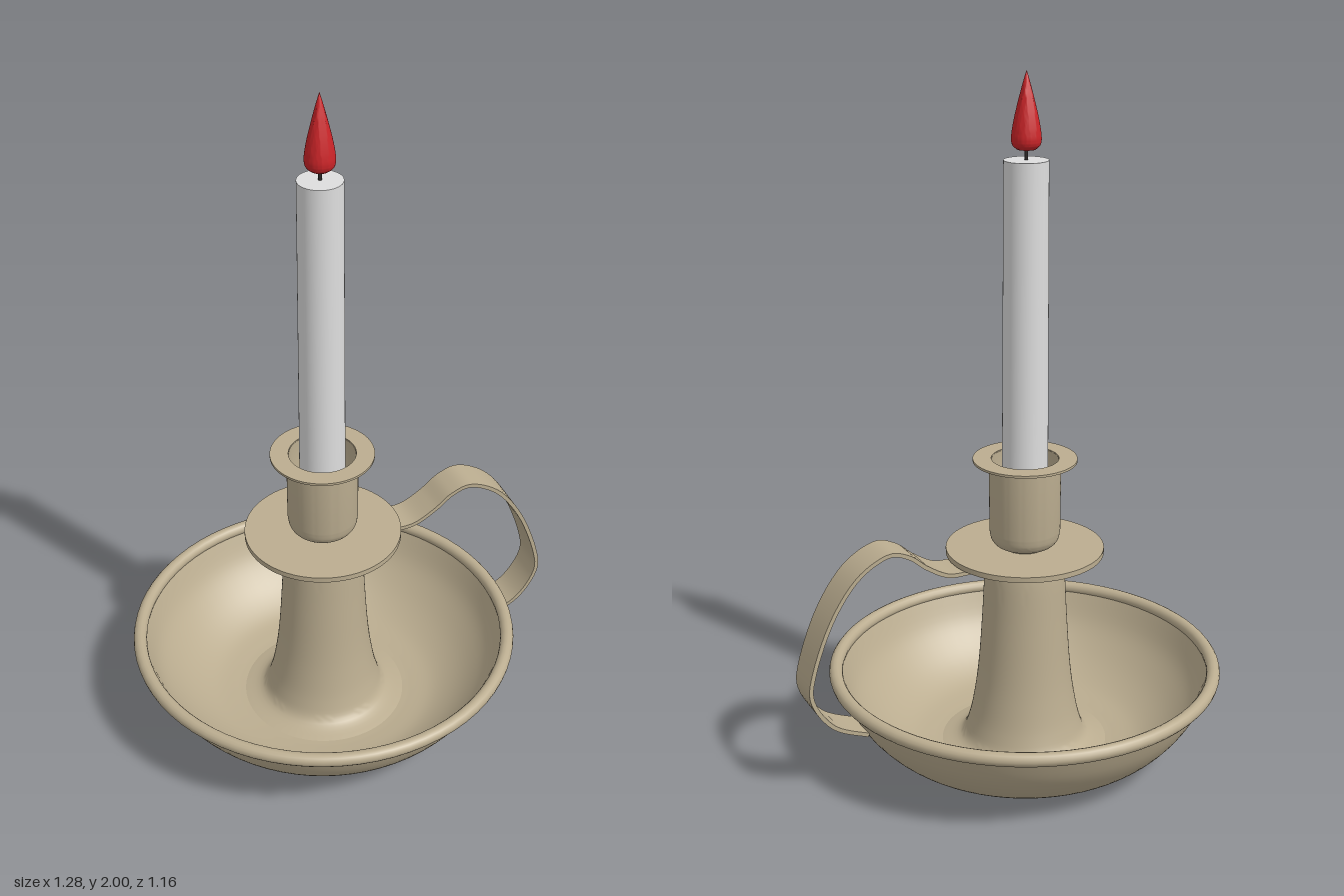
import * as THREE from 'three';
import { toCreasedNormals } from 'three/addons/utils/BufferGeometryUtils.js';

const AXIS_X = -0.06; // the candle axis sits left of centre to balance the handle

const material = (name, color) => {
  const m = new THREE.MeshStandardMaterial({ color });
  m.name = name;
  return m;
};

const toVectors = (pairs) => pairs.map(([x, y]) => new THREE.Vector2(x, y));
const smooth = (pairs, n) => new THREE.SplineCurve(toVectors(pairs)).getPoints(n);
const lathe = (points, crease = 0.6) =>
  toCreasedNormals(new THREE.LatheGeometry(points, 72), crease);

export function createModel() {
  const model = new THREE.Group();
  model.name = 'candleHolder';
  const metal = material('tanMetal', 0xbbad90);
  const wax = material('whiteWax', 0xdedede);
  const red = material('redFlame', 0xcc2428);
  const dark = material('darkWick', 0x2c2826);

  const add = (name, geometry, mat, x = AXIS_X, y = 0) => {
    const mesh = new THREE.Mesh(geometry, mat);
    mesh.name = name;
    mesh.position.set(x, y, 0);
    model.add(mesh);
    return mesh;
  };

  // Bowl: outer wall up, inner wall back down
  const outer = smooth([[0.26, 0], [0.34, 0.013], [0.41, 0.048], [0.47, 0.1], [0.52, 0.168], [0.556, 0.25]], 24);
  const inner = smooth([[0.544, 0.255], [0.507, 0.172], [0.458, 0.11], [0.4, 0.061], [0.335, 0.028], [0.26, 0.015]], 24);
  add('bowl', lathe([new THREE.Vector2(0, 0), ...outer, ...inner, new THREE.Vector2(0, 0.015)]), metal);

  // Rolled rim
  const rim = new THREE.TorusGeometry(0.56, 0.02, 14, 72);
  rim.rotateX(Math.PI / 2);
  add('bowlRim', rim, metal, AXIS_X, 0.26);

  // Flared stem with a rounded shoulder
  add('stem', lathe(smooth([
    [0.25, 0.014], [0.19, 0.035], [0.165, 0.09], [0.147, 0.18], [0.135, 0.28], [0.125, 0.42],
    [0.117, 0.56], [0.108, 0.6], [0.09, 0.624], [0.075, 0.63],
  ], 48)), metal);

  // Drip plate
  add('dripPlate', new THREE.CylinderGeometry(0.23, 0.23, 0.016, 72), metal, AXIS_X, 0.632);

  // Hollow candle socket with a rounded base
  add('socket', lathe([
    ...toVectors([[0, 0.638], [0.065, 0.638]]),
    ...smooth([[0.065, 0.642], [0.085, 0.651], [0.098, 0.668], [0.103, 0.695]], 12),
    ...toVectors([[0.103, 0.908], [0.096, 0.908], [0.096, 0.695], [0.08, 0.665], [0, 0.66]]),
  ]), metal);

  // Flat collar around the socket mouth
  add('socketCollar', lathe(toVectors([
    [0.097, 0.904], [0.15, 0.904], [0.15, 0.911], [0.097, 0.911], [0.097, 0.904],
  ])), metal);

  // Strap handle: a ribbon outline offset from its centre line
  const path = new THREE.SplineCurve(toVectors([
    [0.06, 0.617], [0.14, 0.615], [0.21, 0.619], [0.275, 0.655], [0.33, 0.698], [0.395, 0.713],
    [0.487, 0.66], [0.566, 0.547], [0.622, 0.4], [0.626, 0.315], [0.566, 0.226], [0.465, 0.178],
  ]));
  const upper = [];
  const lower = [];
  for (let i = 0; i <= 64; i++) {
    const p = path.getPoint(i / 64);
    const t = path.getTangent(i / 64);
    const n = new THREE.Vector2(-t.y, t.x).multiplyScalar(0.006);
    upper.push(p.clone().add(n));
    lower.push(p.clone().sub(n));
  }
  const strap = new THREE.ExtrudeGeometry(new THREE.Shape([...lower, ...upper.reverse()]), {
    depth: 0.106, bevelEnabled: false,
  });
  strap.translate(0, 0, -0.053);
  add('handle', toCreasedNormals(strap, 0.6), metal, 0);

  // Candle, wick and flame
  add('candle', new THREE.CylinderGeometry(0.062, 0.067, 1.1, 48), wax, AXIS_X, 1.212);
  add('wick', new THREE.CylinderGeometry(0.005, 0.005, 0.06, 10), dark, AXIS_X, 1.78);
  add('flame', lathe([
    new THREE.Vector2(0, 1.788),
    ...smooth([[0.025, 1.79], [0.038, 1.802], [0.041, 1.825], [0.034, 1.87], [0.021, 1.925], [0.009, 1.97], [0, 2]], 28),
  ], 0.9), red);

  return model;
}
